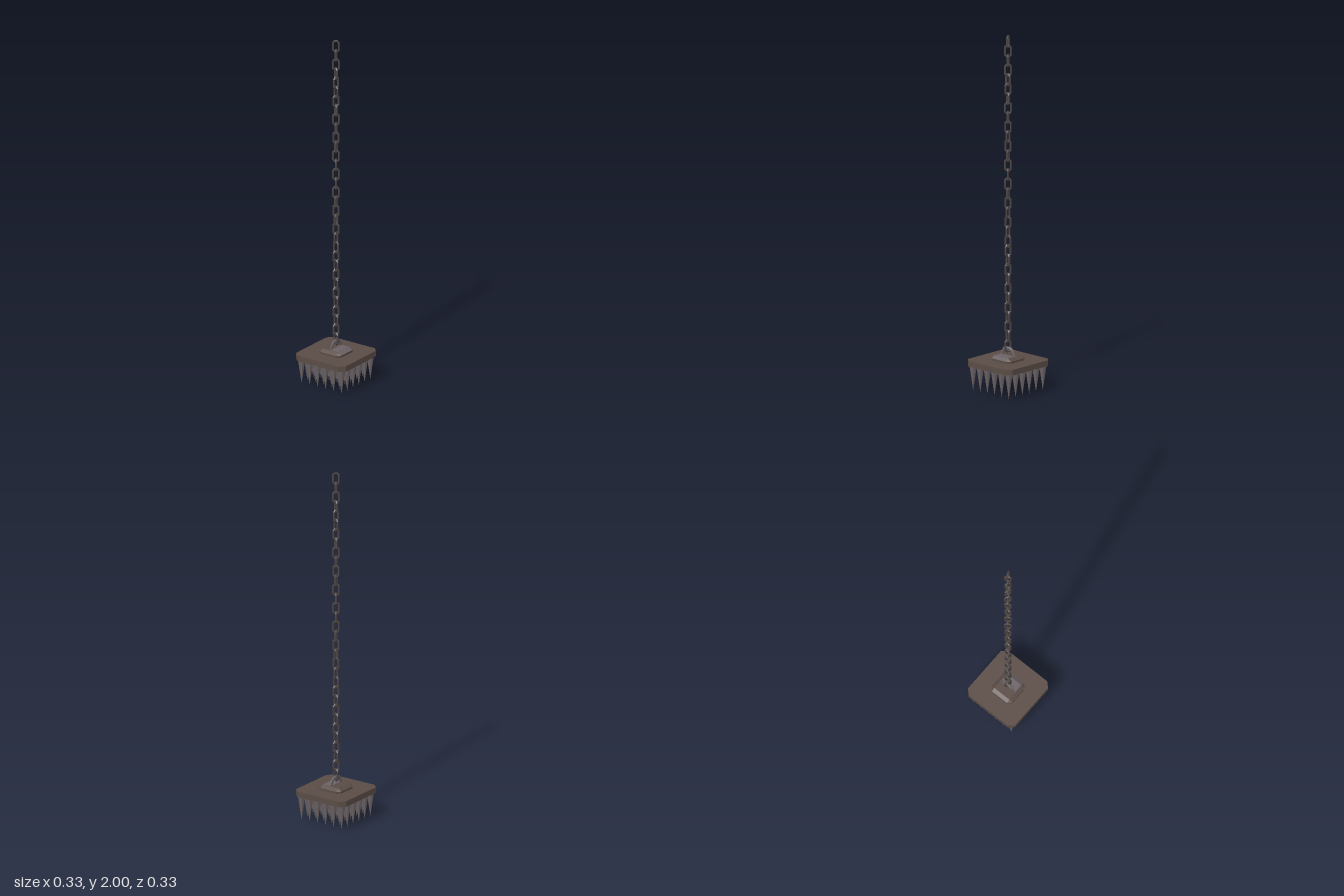
import * as THREE from 'three';

const mat = (name, color) => {
  const m = new THREE.MeshStandardMaterial({ color, flatShading: true });
  m.name = name;
  return m;
};

// Square ring with clipped corners: half width h, corner cut c, height y
const ring = (h, c, y) => [
  [h, h - c], [h - c, h], [c - h, h], [-h, h - c],
  [-h, c - h], [c - h, -h], [h - c, -h], [h, c - h],
].map(([x, z]) => [x, y, z]);

// Closed solid through a stack of rings, bottom to top
function loft(rings) {
  const pos = [];
  const tri = (...pts) => pts.forEach((p) => pos.push(...p));
  for (let k = 0; k < rings.length - 1; k++) {
    const a = rings[k], b = rings[k + 1];
    for (let i = 0; i < 8; i++) {
      const j = (i + 1) % 8;
      tri(a[i], b[i], b[j]);
      tri(a[i], b[j], a[j]);
    }
  }
  const low = rings[0], top = rings[rings.length - 1];
  for (let i = 1; i < 7; i++) {
    tri(low[0], low[i], low[i + 1]);
    tri(top[0], top[i + 1], top[i]);
  }
  const g = new THREE.BufferGeometry();
  g.setAttribute('position', new THREE.Float32BufferAttribute(pos, 3));
  g.computeVertexNormals();
  return g;
}

// Eight-sided ring stretched into an oblong link
function linkGeometry() {
  const g = new THREE.TorusGeometry(0.017, 0.006, 6, 8);
  g.rotateZ(Math.PI / 8);
  const p = g.attributes.position;
  for (let i = 0; i < p.count; i++) p.setY(i, p.getY(i) + Math.sign(p.getY(i)) * 0.0155);
  g.computeVertexNormals();
  return g;
}

// Twist of the chain in degrees at given link numbers
const TWIST = [[0, -20], [9, -20], [11, 5], [14, 15], [18, 40], [22, 15], [25, 50], [28, 80], [30, 35], [32, 25]];
function twistAt(i) {
  const k = Math.max(1, TWIST.findIndex(([n]) => n >= i));
  const [n0, a0] = TWIST[k - 1], [n1, a1] = TWIST[k];
  return THREE.MathUtils.lerp(a0, a1, (i - n0) / (n1 - n0));
}

export function createModel() {
  const model = new THREE.Group();
  const brown = mat('rusty brown iron', 0x5a4c46);
  const steel = mat('grey steel', 0x6b6366);
  const dark = mat('dark chain iron', 0x4b4442);
  const add = (name, geo, material, parent = model) => {
    const m = new THREE.Mesh(geo, material);
    m.name = name;
    parent.add(m);
    return m;
  };

  // Heavy plate and the stepped mount on top
  add('plate', loft([ring(0.167, 0.028, 0.14), ring(0.167, 0.028, 0.172)]), brown);
  add('mount', loft([ring(0.073, 0.02, 0.17), ring(0.073, 0.02, 0.183), ring(0.053, 0.0001, 0.197)]), brown);

  // Bare steel faces on the front of the mount
  add('mountTopFace', new THREE.BoxGeometry(0.1, 0.002, 0.052), steel).position.set(0, 0.197, 0.026);
  const slope = add('mountFrontFace', new THREE.BoxGeometry(0.106, 0.002, 0.024), steel);
  slope.position.set(0, 0.19, 0.063);
  slope.rotation.x = Math.atan2(0.014, 0.02);

  // Arched shackle, thinning toward its feet
  const path = new THREE.CurvePath();
  const pts = [[-0.05, 0.192], [-0.031, 0.228], [-0.02, 0.237], [0.02, 0.237], [0.031, 0.228], [0.05, 0.192]]
    .map(([x, y]) => new THREE.Vector3(x, y, 0));
  for (let i = 1; i < pts.length; i++) path.add(new THREE.LineCurve3(pts[i - 1], pts[i]));
  const arch = new THREE.TubeGeometry(path, 24, 0.009, 6, false);
  const ap = arch.attributes.position;
  for (let i = 0; i < ap.count; i++) ap.setZ(i, ap.getZ(i) * (1.15 - Math.abs(ap.getX(i)) / 0.06));
  arch.computeVertexNormals();
  add('shackle', arch, steel);

  // Six by six grid of spikes
  const spikes = new THREE.Group();
  spikes.name = 'spikes';
  model.add(spikes);
  const cone = new THREE.ConeGeometry(0.021, 0.142, 8);
  cone.rotateX(Math.PI);
  for (let i = 0; i < 6; i++) {
    for (let j = 0; j < 6; j++) {
      add('spike', cone, steel, spikes).position.set((i - 2.5) * 0.0535, 0.071, (j - 2.5) * 0.0535);
    }
  }

  // Chain of alternating links with a gentle twist
  const chain = new THREE.Group();
  chain.name = 'chain';
  model.add(chain);
  const link = linkGeometry();
  for (let i = 0; i < 33; i++) {
    const m = add('chainLink', link, dark, chain);
    m.position.y = 0.25 + i * 0.0535;
    m.rotation.y = THREE.MathUtils.degToRad(twistAt(i) + (i % 2 ? 0 : 90));
  }
  return model;
}
